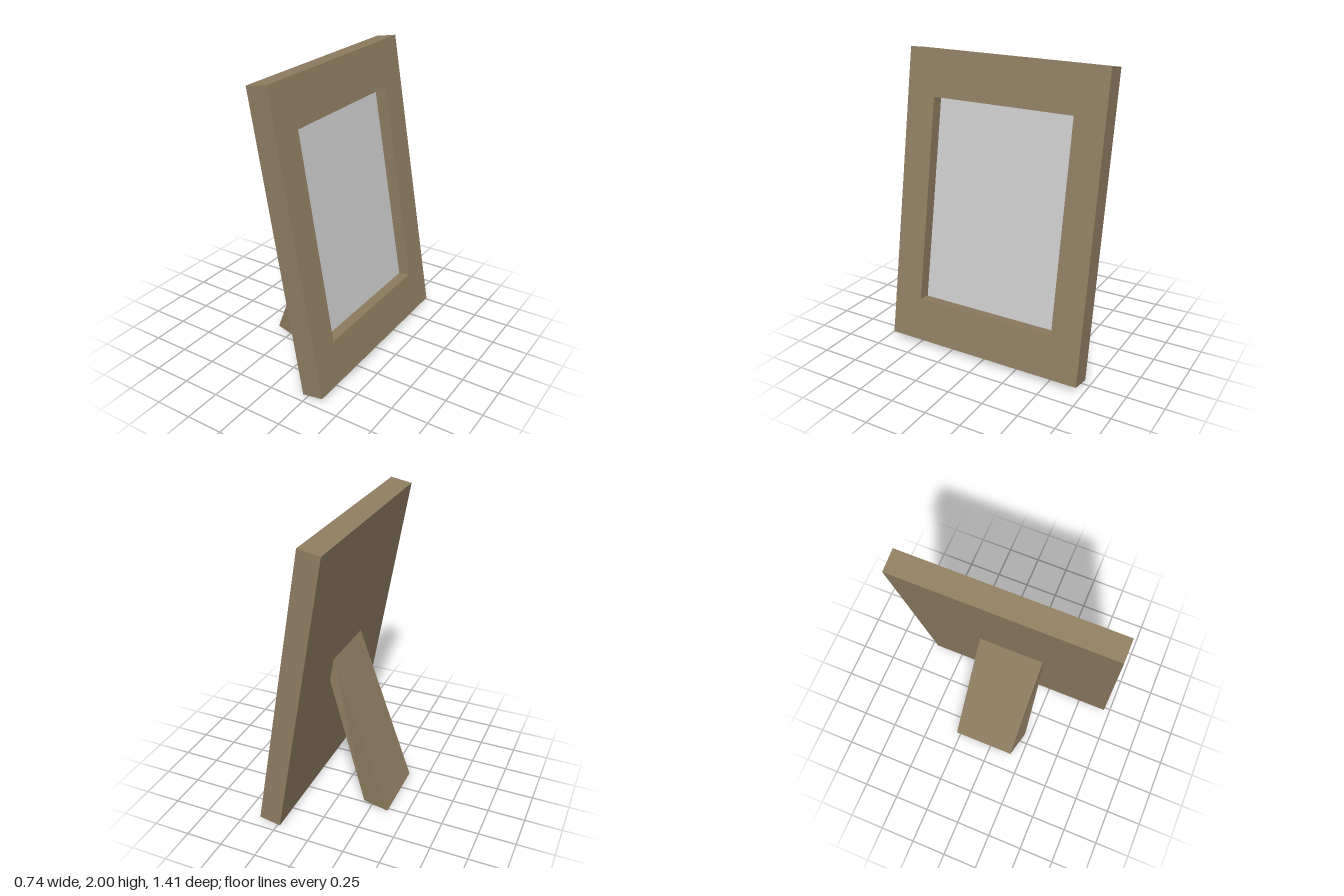
import * as THREE from 'three';

const W = 1.414, H = 1.99, T = 0.147;             // frame outer size
const OPEN_W = 1.0, OPEN_Y0 = 0.295, OPEN_Y1 = 1.682, RECESS = 0.082;
const TILT = THREE.MathUtils.degToRad(10);

const rect = (Type, x0, y0, x1, y1) => new Type([
  new THREE.Vector2(x0, y0), new THREE.Vector2(x1, y0),
  new THREE.Vector2(x1, y1), new THREE.Vector2(x0, y1),
]);

// Six-sided solid lofted from a bottom ring to a top ring of four corners
function hexahedron(bottom, top) {
  const geo = new THREE.BufferGeometry();
  geo.setAttribute('position', new THREE.Float32BufferAttribute([...bottom, ...top].flat(), 3));
  const index = [0, 2, 1, 0, 3, 2, 4, 5, 6, 4, 6, 7];
  for (let i = 0; i < 4; i++) {
    const j = (i + 1) % 4;
    index.push(i, j, j + 4, i, j + 4, i + 4);
  }
  geo.setIndex(index);
  const flat = geo.toNonIndexed();
  flat.computeVertexNormals();
  return flat;
}

export function createModel() {
  const root = new THREE.Group();
  root.name = 'photoFrame';
  const wood = new THREE.MeshStandardMaterial({ color: 0x917e62 });
  const grey = new THREE.MeshStandardMaterial({ color: 0xcccccc });

  const add = (parent, name, geo, mat) => {
    const mesh = new THREE.Mesh(geo, mat);
    mesh.name = name;
    parent.add(mesh);
    return mesh;
  };

  // Leaning panel: local z is the thickness, turned to face +x
  const lean = new THREE.Group();
  lean.name = 'leaningPanel';
  lean.position.set(0.225, 0.015, 0);
  lean.rotation.z = TILT;
  root.add(lean);
  const panel = new THREE.Group();
  panel.name = 'panel';
  panel.rotation.y = Math.PI / 2;
  lean.add(panel);

  // Wooden border with its rectangular opening
  const border = rect(THREE.Shape, -W / 2, 0, W / 2, H);
  border.holes.push(rect(THREE.Path, -OPEN_W / 2, OPEN_Y0, OPEN_W / 2, OPEN_Y1));
  add(panel, 'border', new THREE.ExtrudeGeometry(border, { depth: T, bevelEnabled: false }), wood);

  // Backing board flush with the rear, and the picture in the recess
  const openH = OPEN_Y1 - OPEN_Y0, midY = (OPEN_Y0 + OPEN_Y1) / 2, boardT = T - RECESS - 0.002;
  add(panel, 'backingBoard', new THREE.BoxGeometry(OPEN_W, openH, boardT), wood)
    .position.set(0, midY, boardT / 2);
  add(panel, 'picture', new THREE.PlaneGeometry(OPEN_W, openH), grey)
    .position.set(0, midY, T - RECESS);

  // Rear support leg, slightly twisted at the foot, tapering into the panel
  add(root, 'supportLeg', hexahedron(
    [[-0.373, 0.006, -0.28], [-0.373, 0.006, 0.165], [-0.185, 0, 0.21], [-0.185, 0, -0.235]],
    [[0.041, 1.07, -0.223], [0.041, 1.07, 0.222], [0.069, 0.91, 0.222], [0.069, 0.91, -0.223]],
  ), wood);

  return root;
}
